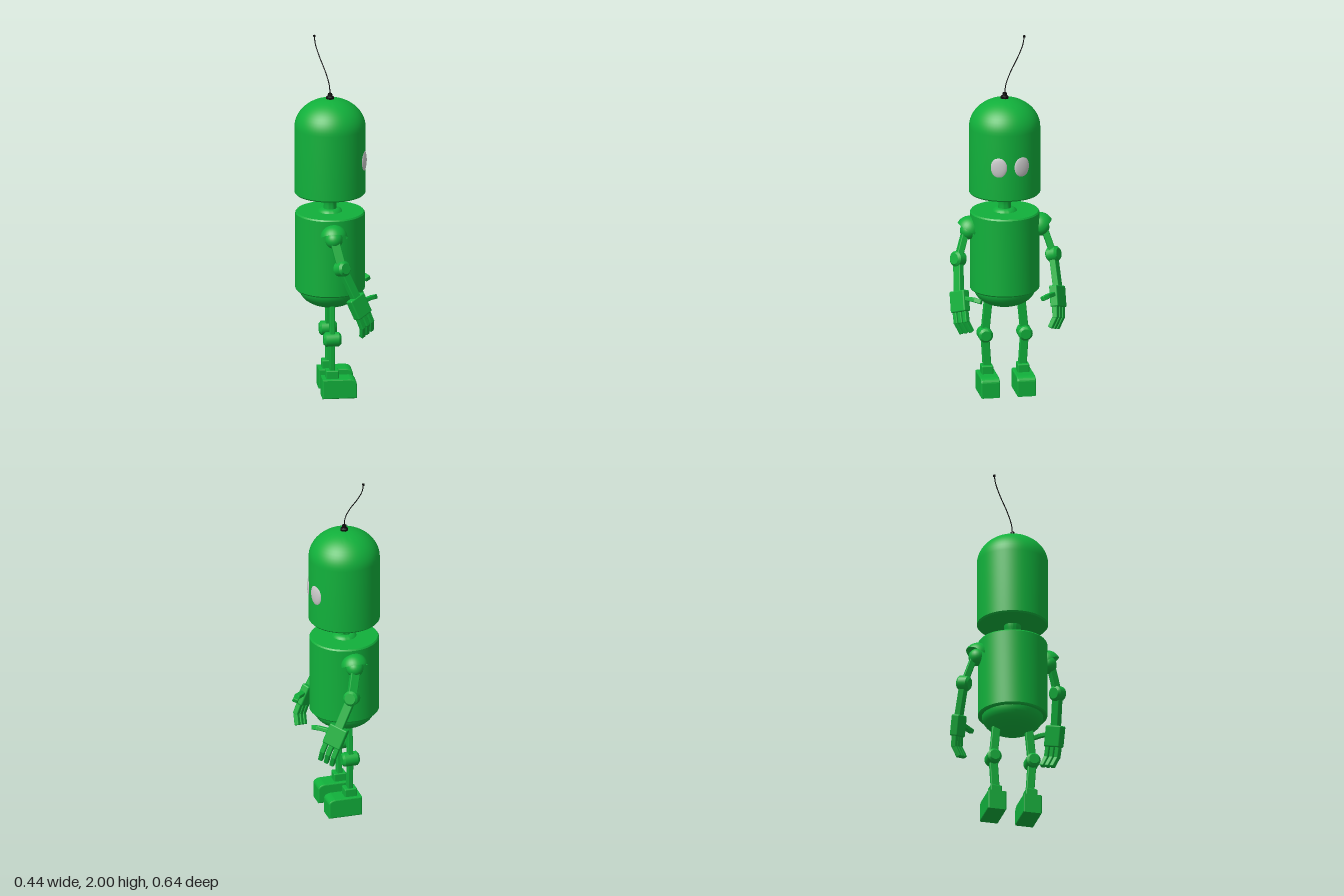
import * as THREE from 'three';
import { toCreasedNormals } from 'three/addons/utils/BufferGeometryUtils.js';
import { RoundedBoxGeometry } from 'three/addons/geometries/RoundedBoxGeometry.js';

const V = (x, y, z) => new THREE.Vector3(x, y, z);
const CX = -0.025; // body axis

export function createModel() {
  const green = new THREE.MeshStandardMaterial({ color: 0x11b03b, side: THREE.DoubleSide });
  const black = new THREE.MeshStandardMaterial({ color: 0x0a0a0a });
  const grey = new THREE.MeshStandardMaterial({ color: 0xcccccc });
  const root = new THREE.Group();
  root.name = 'robot';

  const add = (parent, name, geo, pos, mat = green) => {
    const m = new THREE.Mesh(geo, mat);
    m.name = name;
    m.position.copy(pos);
    parent.add(m);
    return m;
  };
  const lathe = (parent, name, pts, mat = green, seg = 48) => add(parent, name,
    toCreasedNormals(new THREE.LatheGeometry(pts.map(p => new THREE.Vector2(...p)), seg), 0.6),
    V(CX, 0, 0), mat);
  // rounded bar from a to b; hint is the direction of its width
  const bar = (parent, name, a, b, w, d, hint, r = 0.005) => {
    const dir = b.clone().sub(a);
    const m = add(parent, name, new RoundedBoxGeometry(w, dir.length(), d, 2, r),
      a.clone().add(b).multiplyScalar(0.5));
    const y = dir.clone().normalize();
    const z = hint.clone().cross(y).normalize();
    m.quaternion.setFromRotationMatrix(new THREE.Matrix4().makeBasis(y.clone().cross(z), y, z));
    return m;
  };
  // bevelled cylinder along the given axis
  const joint = (parent, name, pos, axis, r, len) => {
    const h = len / 2, b = 0.012;
    const pts = [[0, -h], [r - b, -h], [r, -h + b], [r, h - b], [r - b, h], [0, h]];
    const geo = new THREE.LatheGeometry(pts.map(p => new THREE.Vector2(...p)), 20);
    const m = add(parent, name, toCreasedNormals(geo, 0.6), pos);
    m.quaternion.setFromUnitVectors(V(0, 1, 0), axis.clone().normalize());
    return m;
  };

  // Head with domed top
  const headPts = [[0, 1.135], [0.188, 1.135], [0.195, 1.143]];
  for (let i = 0; i <= 14; i++) {
    const a = (i / 14) * Math.PI / 2;
    headPts.push([i === 14 ? 0 : 0.195 * Math.cos(a), 1.51 + 0.162 * Math.sin(a)]);
  }
  lathe(root, 'head', headPts, green, 64);

  // Neck and collar
  lathe(root, 'neck', [[0.036, 1.04], [0.034, 1.07], [0.037, 1.095], [0.046, 1.115], [0.048, 1.14]]);
  lathe(root, 'collar', [[0.068, 1.03], [0.062, 1.04], [0.048, 1.048], [0, 1.05]]);

  // Torso and bowl-shaped pelvis
  lathe(root, 'torso', [[0, 0.588], [0.184, 0.588], [0.19, 0.595], [0.19, 1.024], [0.184, 1.032], [0, 1.032]], green, 64);
  const bowl = [];
  for (let i = 0; i <= 10; i++) {
    const a = (i / 10) * Math.PI / 2;
    bowl.push([0.168 * Math.sin(a), 0.59 - 0.1 * Math.cos(a)]);
  }
  lathe(root, 'pelvis', bowl);

  // Eyes lie on the head's curved face
  for (const s of [1, -1]) {
    const a = s * 0.34;
    const eye = add(root, 'eye', new THREE.SphereGeometry(1, 32, 20),
      V(CX + 0.187 * Math.cos(a), 1.33, 0.187 * Math.sin(a)), grey);
    eye.scale.set(0.016, 0.063, 0.046);
    eye.rotation.y = -a;
  }

  // Antenna
  lathe(root, 'antennaBase', [[0, 1.662], [0.022, 1.666], [0.022, 1.682], [0.013, 1.688], [0.012, 1.702], [0, 1.704]], black, 8);
  const wire = new THREE.CatmullRomCurve3([
    V(CX, 1.69, 0), V(-0.028, 1.745, -0.007), V(-0.045, 1.81, -0.035),
    V(-0.075, 1.89, -0.084), V(-0.093, 1.95, -0.113), V(-0.098, 1.995, -0.122)]);
  add(root, 'antennaWire', new THREE.TubeGeometry(wire, 32, 0.0028, 6), V(0, 0, 0), black);
  add(root, 'antennaTip', new THREE.BoxGeometry(0.011, 0.01, 0.011), V(-0.098, 1.995, -0.122), black);

  for (const s of [1, -1]) {
    const side = s > 0 ? 'Back' : 'Front';
    const arm = new THREE.Group();
    arm.name = s > 0 ? 'armPositiveZ' : 'armNegativeZ';
    root.add(arm);

    // Shoulder cap, tilted open towards the outside
    const cap = add(arm, 'shoulderCap',
      new THREE.SphereGeometry(0.075, 32, 12, 0, Math.PI * 2, 0, Math.PI / 2), V(CX, 0.932, 0.195 * s));
    cap.rotation.x = -s * 0.55;
    add(arm, 'shoulderBall', new THREE.SphereGeometry(0.048, 24, 16), V(CX, 0.925, 0.2 * s));

    // Upper arm, elbow, forearm
    const across = V(0.73, 0.31, -0.61 * s).normalize();
    const outward = V(0.56, 0.24, 0.79 * s).normalize();
    const elbow = V(0.012, 0.778, 0.264 * s);
    bar(arm, 'upperArm', V(CX, 0.93, 0.215 * s), elbow, 0.05, 0.036, V(1, 0, 0));
    joint(arm, 'elbow', elbow, outward, 0.042, 0.07);
    bar(arm, 'forearm', elbow, V(0.088, 0.61, 0.274 * s), 0.05, 0.036, across);

    // Hand, in its own frame: x towards thumb, y up the forearm
    const hand = new THREE.Group();
    hand.name = 'hand';
    hand.position.set(0.105, 0.563, 0.272 * s);
    const up = V(-0.39, 0.92, 0).normalize();
    const nz = across.clone().cross(up).normalize();
    hand.quaternion.setFromRotationMatrix(new THREE.Matrix4().makeBasis(up.clone().cross(nz), up, nz));
    arm.add(hand);
    const X = V(1, 0, 0), Y = V(0, 1, 0);
    add(hand, 'palm', new RoundedBoxGeometry(0.108, 0.118, 0.048, 2, 0.008), V(0, 0, 0));
    for (let i = -1; i <= 1; i++) {
      const x = i * 0.035;
      bar(hand, 'finger', V(x, -0.05, 0), V(x, -0.12, -0.004 * s), 0.028, 0.03, X);
      bar(hand, 'fingertip', V(x, -0.11, -0.001 * s), V(x, -0.17, -0.04 * s), 0.026, 0.027, X);
    }
    bar(hand, 'thumb', V(0.04, 0.012, 0), V(0.115, -0.006, -0.006 * s), 0.024, 0.03, Y);
    bar(hand, 'thumbTip', V(0.105, -0.004, -0.004 * s), V(0.142, -0.02, -0.022 * s), 0.026, 0.032, Y);

    // Leg with knee hinge and block foot
    const leg = new THREE.Group();
    leg.name = s > 0 ? 'legPositiveZ' : 'legNegativeZ';
    root.add(leg);
    const knee = V(CX, 0.33, 0.11 * s);
    bar(leg, 'thigh', V(CX, 0.56, 0.088 * s), knee, 0.028, 0.046, X);
    joint(leg, 'knee', knee, X, 0.04, 0.096);
    bar(leg, 'shin', knee, V(CX, 0.13, 0.097 * s), 0.028, 0.046, X);
    add(leg, 'ankle', new RoundedBoxGeometry(0.07, 0.06, 0.064, 2, 0.006), V(CX, 0.125, 0.1 * s));

    // Foot: side profile with a sloped toe, extruded across
    const shape = new THREE.Shape();
    shape.moveTo(-0.076, 0.006);
    shape.lineTo(0.1, 0.006);
    shape.lineTo(0.1, 0.084);
    shape.quadraticCurveTo(0.098, 0.1, 0.07, 0.104);
    shape.lineTo(-0.076, 0.104);
    shape.closePath();
    const foot = new THREE.ExtrudeGeometry(shape, {
      depth: 0.092, bevelEnabled: true, bevelSize: 0.006, bevelThickness: 0.006, bevelSegments: 2, curveSegments: 6 });
    foot.translate(0, 0, -0.046);
    add(leg, 'foot', foot, V(0, 0, 0.1 * s));
  }
  return root;
}
